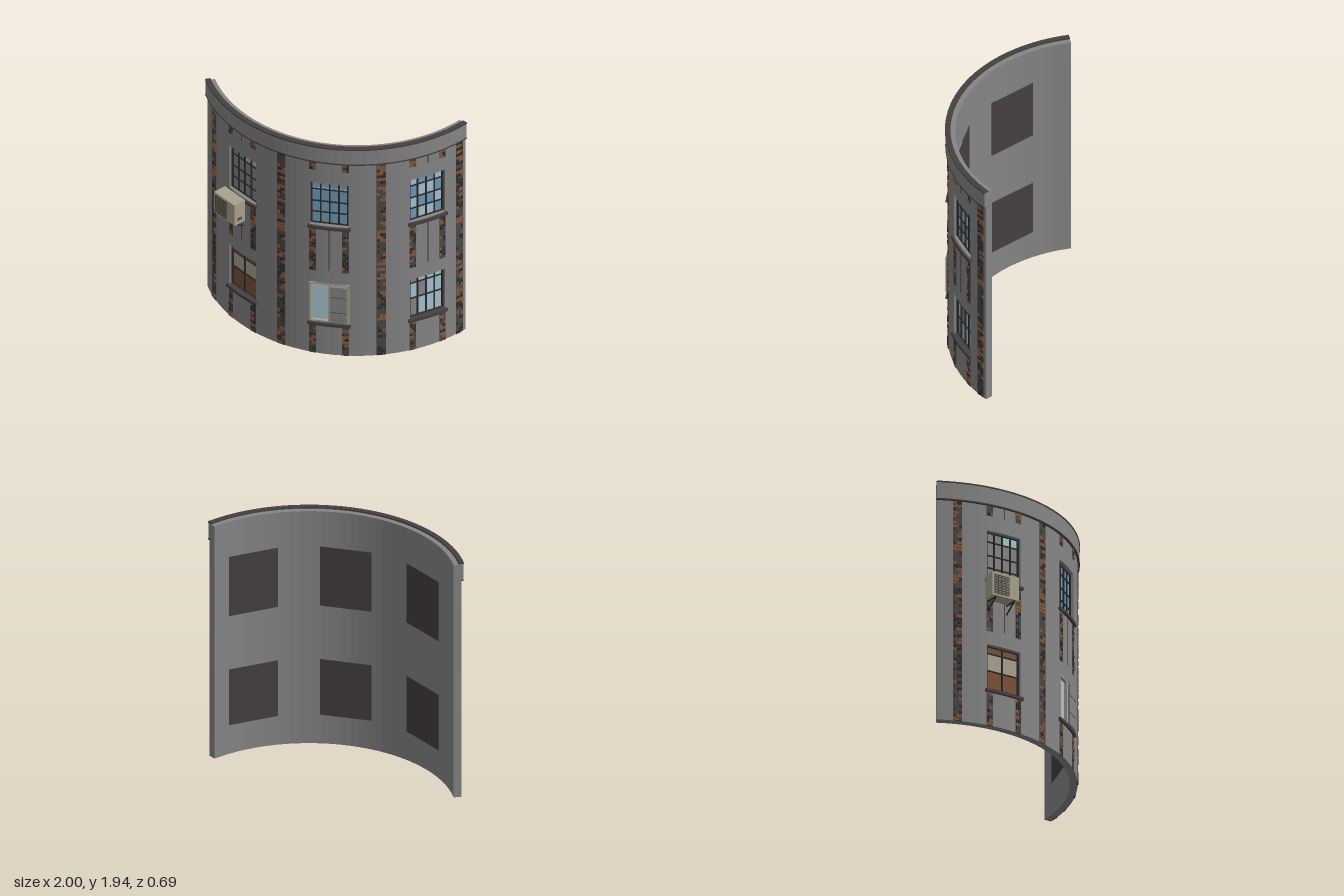
import * as THREE from 'three';
import { mergeGeometries } from 'three/addons/utils/BufferGeometryUtils.js';

const CX = 0.05, CZ = -0.826;            // centre of the curved facade
const R_IN = 1.09, R_OUT = 1.148;        // wall radii
const A0 = -64.2, A1 = 54.6;             // wall ends, degrees from +z
const BAYS = [-37.6, 0, 37.6], HALF = 7.3;
const ROWS = [[0.29, 0.66], [1.195, 1.588]];

const mat = (name, color) => Object.assign(new THREE.MeshStandardMaterial({ color }), { name });
const M = {
  wall: mat('grey plaster', 0x858585),
  trim: mat('dark trim', 0x463f40),
  brick: mat('dark brick', 0x4b4643),
  rust: mat('rust brick', 0x85573b),
  blue: mat('blue glass', 0x7099b8),
  pale: mat('pale glass', 0xa6c4d2),
  curtain: mat('brown curtain', 0x7a5138),
  cream: mat('cream metal', 0xa8a18d),
  iron: mat('black iron', 0x2c2a2a),
};

// Curved block between two radii, two angles and two heights
function sector(r0, r1, a0, a1, y0, y1) {
  const n = Math.max(1, Math.round((a1 - a0) / 2.7)), pts = [];
  const at = (r, i) => {
    const a = THREE.MathUtils.degToRad(a0 + (a1 - a0) * i / n);
    return new THREE.Vector2(r * Math.sin(a), -r * Math.cos(a));
  };
  for (let i = 0; i <= n; i++) pts.push(at(r1, i));
  for (let i = n; i >= 0; i--) pts.push(at(r0, i));
  const g = new THREE.ExtrudeGeometry(new THREE.Shape(pts), { depth: y1 - y0, bevelEnabled: false });
  return g.rotateX(-Math.PI / 2).translate(0, y0, 0);
}

function add(parent, name, material, geometry) {
  const mesh = new THREE.Mesh(Array.isArray(geometry) ? mergeGeometries(geometry) : geometry, material);
  mesh.name = name;
  parent.add(mesh);
  return mesh;
}

// Box given by its limits
const block = (x0, x1, y0, y1, z0, z1) =>
  new THREE.BoxGeometry(x1 - x0, y1 - y0, z1 - z0).translate((x0 + x1) / 2, (y0 + y1) / 2, (z0 + z1) / 2);

let seed = 7;
const rand = () => (seed = (seed * 16807) % 2147483647) / 2147483647;

function buildWall(root) {
  const top = 1.925, parts = [];
  let from = A0;
  for (const bay of BAYS) {
    parts.push(sector(R_IN, R_OUT, from, bay - HALF, 0, top));
    let y = 0;
    for (const [y0, y1] of ROWS) {
      parts.push(sector(R_IN, R_OUT, bay - HALF, bay + HALF, y, y0));
      y = y1;
    }
    parts.push(sector(R_IN, R_OUT, bay - HALF, bay + HALF, y, top));
    from = bay + HALF;
  }
  parts.push(sector(R_IN, R_OUT, from, A1, 0, top));
  add(root, 'curvedWall', M.wall, parts);

  // Cornice with dark edges
  add(root, 'cornice', M.wall, sector(1.128, 1.162, A0, A1, 1.8, 1.93));
  add(root, 'corniceCap', M.trim, sector(1.126, 1.167, A0, A1, 1.93, 1.94));
  add(root, 'corniceLowerEdge', M.trim, sector(1.14, 1.165, A0, A1, 1.79, 1.8));
}

// Brick strips: dark backing with scattered rust and black bricks
function buildStrips(root) {
  const backing = [], rust = [], dark = [];
  const strip = (a, width, y0, y1) => {
    backing.push(sector(1.14, 1.151, a - width / 2, a + width / 2, y0, y1));
    const n = Math.max(1, Math.round((y1 - y0) / 0.027)), h = (y1 - y0) / n;
    for (let i = 0; i < n; i++) {
      const split = i % 2 ? 0.35 : 0.65;
      for (const [u, v] of [[0, split], [split, 1]]) {
        const k = rand();
        if (k > 0.62) continue;
        const list = k < 0.27 ? rust : dark, e = k < 0.27 ? 0 : 0.08;
        list.push(sector(1.149, 1.155, a + width * (u + e - 0.5), a + width * (v - e - 0.5),
          y0 + i * h + 0.003, y0 + (i + 1) * h - 0.003));
      }
    }
  };
  for (const a of [-56.4, -18.8, 19.4, 51.6]) strip(a, 3.4, 0, 1.79);
  for (const bay of BAYS) for (const s of [-6.2, 6.2]) {
    strip(bay + s, 2.6, 0, 0.265);
    strip(bay + s, 2.6, 0.77, 1.17);
    strip(bay + s, 2.6, 1.71, 1.79);
  }
  add(root, 'brickStrips', M.brick, backing);
  add(root, 'rustBricks', M.rust, rust);
  add(root, 'blackBricks', M.iron, dark);
}

// Barred window; pane(column, row) gives the material of each pane, row 0 at the bottom
function gridWindow(bay, name, cols, levels, pane) {
  const w = 0.138, bars = [], groups = new Map();
  const y0 = levels[0], y1 = levels[levels.length - 1];
  const xAt = i => -w + 2 * w * i / cols;
  for (let c = 0; c < cols; c++) for (let r = 0; r < levels.length - 1; r++) {
    const m = pane(c, r);
    if (!groups.has(m)) groups.set(m, []);
    groups.get(m).push(block(xAt(c), xAt(c + 1), levels[r], levels[r + 1], 1.103, 1.109));
  }
  for (const [m, list] of groups) add(bay, name + 'Panes', m, list);
  for (let c = 0; c <= cols; c++) {
    const t = c === 0 || c === cols ? 0.008 : 0.005;
    bars.push(block(xAt(c) - t, xAt(c) + t, y0, y1, 1.105, 1.12));
  }
  levels.forEach(y => bars.push(block(-w, w, y - 0.004, y + 0.004, 1.105, 1.118)));
  add(bay, name + 'Bars', M.iron, bars);
}

// Cream casement with one glazed leaf and one panelled shutter
function casement(bay) {
  const w = 0.143, frame = [];
  for (const x of [-w, 0, w]) frame.push(block(x - 0.008, x + 0.008, 0.295, 0.655, 1.1, 1.146));
  for (const y of [0.3, 0.65]) frame.push(block(-w, w, y - 0.007, y + 0.007, 1.1, 1.145));
  add(bay, 'casementFrame', M.cream, frame);
  add(bay, 'casementGlass', M.pale, block(-w, 0, 0.3, 0.65, 1.115, 1.122));
  add(bay, 'casementShutter', M.wall, block(0.01, 0.135, 0.31, 0.64, 1.12, 1.162));
  add(bay, 'shutterLines', M.trim, [0.405, 0.545].map(y => block(0.012, 0.133, y - 0.002, y + 0.002, 1.16, 1.164)));
}

function buildBays(root) {
  const low = [0.295, 0.46, 0.6, 0.655], high = [1.2, 1.3, 1.4, 1.51, 1.583];
  BAYS.forEach((angle, i) => {
    const bay = new THREE.Group();
    bay.name = ['rightBay', 'centreBay', 'leftBay'][i];
    bay.rotation.y = THREE.MathUtils.degToRad(angle);
    root.add(bay);

    // Dark boards behind the openings
    add(bay, 'backBoards', M.trim, [block(-0.196, 0.196, 0.245, 0.705, 1.059, 1.063),
      block(-0.196, 0.196, 1.15, 1.64, 1.059, 1.063)]);
    // Sills
    add(bay, 'sills', M.trim, [0.27, 1.17].map(y => sector(1.1, 1.167, -8.1, 8.1, y, y + 0.024)));
    // Joint lines in the plaster panels
    const joints = [block(-0.003, 0.003, 0.78, 1.17, 1.14, 1.151)];
    if (i !== 1) joints.push(block(-0.003, 0.003, 1.71, 1.79, 1.14, 1.151));
    add(bay, 'panelJoints', M.trim, joints);

    if (i === 0) {
      gridWindow(bay, 'upperWindow', 4, high, (c, r) => r === 3 && c > 1 ? M.pale : M.wall);
      gridWindow(bay, 'curtainWindow', 2, low, (c, r) => r === 1 ? M.cream : M.curtain);
    } else if (i === 1) {
      gridWindow(bay, 'upperWindow', 4, high, () => M.blue);
      add(bay, 'glassHighlight', M.pale, block(-0.13, 0.13, 1.516, 1.522, 1.108, 1.111));
      casement(bay);
    } else {
      gridWindow(bay, 'upperWindow', 4, high, (c, r) => (c * 3 + r * 2) % 4 < 2 ? M.blue : M.pale);
      gridWindow(bay, 'lowerWindow', 4, low, (c, r) => c < 2 && (c + r) % 2 === 0 ? M.wall : M.pale);
    }
  });
}

function buildAirConditioner(root) {
  const unit = new THREE.Group();
  unit.name = 'airConditioner';
  unit.position.set(-0.77 - CX, 1.105, 0.14 - CZ);   // middle of the front face
  unit.rotation.y = THREE.MathUtils.degToRad(-38);
  root.add(unit);
  add(unit, 'casing', M.cream, block(-0.114, 0.114, -0.095, 0.095, -0.105, 0));
  // Fan grille and side vents
  const slats = [];
  for (let i = 0; i < 12; i++) slats.push(block(-0.098, 0.03, -0.08 + i * 0.0135, -0.073 + i * 0.0135, -0.002, 0.003));
  for (let i = 0; i < 5; i++) slats.push(block(-0.098 + i * 0.031, -0.094 + i * 0.031, -0.08, 0.075, -0.002, 0.004));
  add(unit, 'frontGrille', M.brick, slats);
  add(unit, 'sideVents', M.iron, [0, 1].map(i => block(0.112, 0.116, -0.06 + i * 0.015, -0.053 + i * 0.015, -0.07, -0.03)));
  // Brackets: a rail under the casing and a diagonal strut to the wall
  const brackets = [];
  for (const x of [-0.08, 0.08]) {
    brackets.push(block(x - 0.004, x + 0.004, -0.103, -0.095, -0.13, -0.005));
    brackets.push(new THREE.BoxGeometry(0.008, 0.008, 0.14).rotateX(-0.55).translate(x, -0.137, -0.067));
  }
  add(unit, 'brackets', M.iron, brackets);
}

export function createModel() {
  const model = new THREE.Group();
  model.name = 'curvedBuildingFacade';
  const root = new THREE.Group();
  root.name = 'facade';
  root.position.set(CX, 0, CZ);
  model.add(root);
  buildWall(root);
  buildStrips(root);
  buildBays(root);
  buildAirConditioner(root);
  return model;
}
